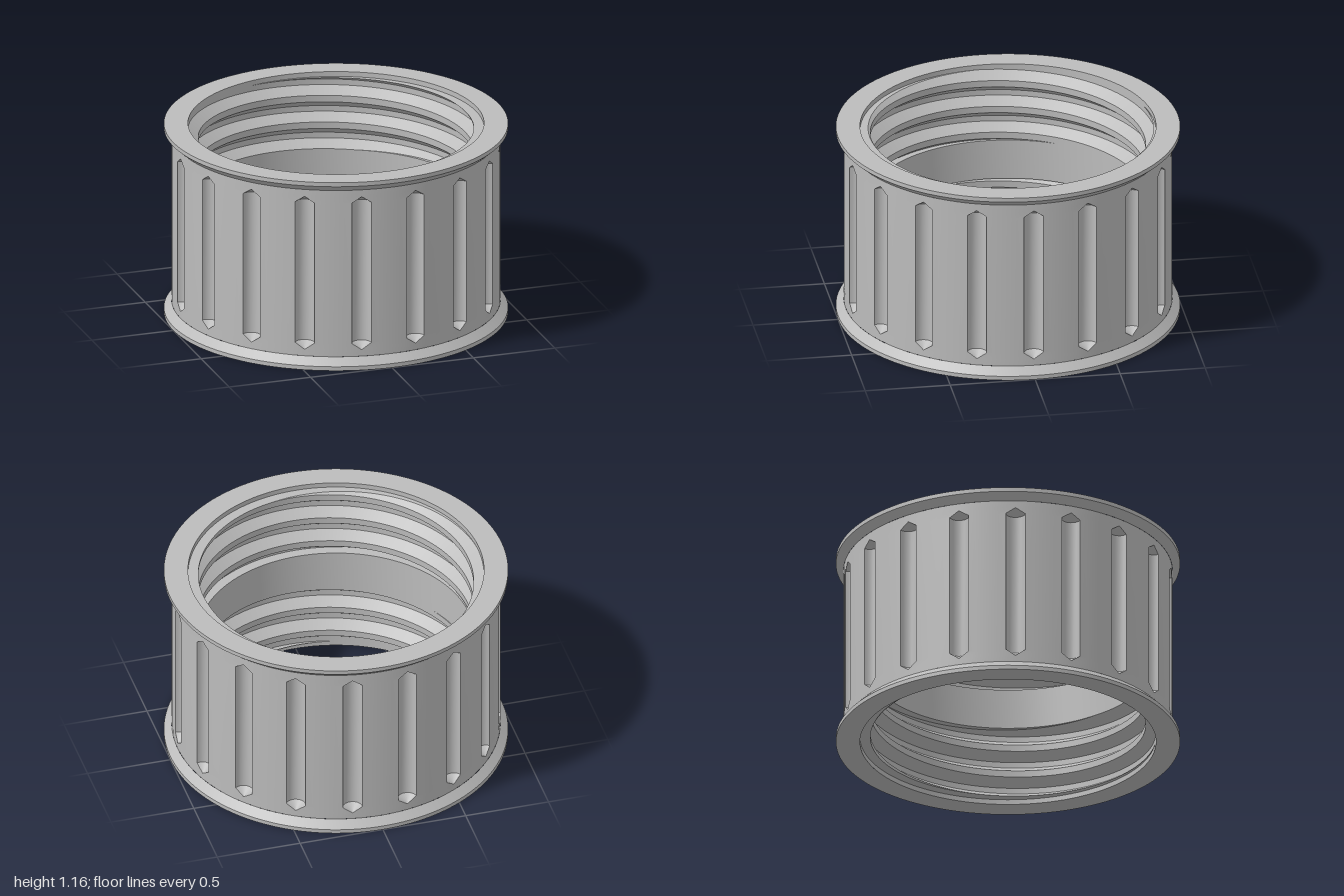
import * as THREE from 'three';
import { toCreasedNormals } from 'three/addons/utils/BufferGeometryUtils.js';

const H = 1.165;        // overall height
const BODY = 0.955;     // outer wall radius
const BORE = 0.8;       // thread crest and bore radius
const ROOT = 0.86;      // thread root and mouth radius
const SEGMENTS = 144;
const CREASE = 0.45;

const plastic = new THREE.MeshStandardMaterial({ color: 0xbcbcbc });
plastic.name = 'greyPlastic';

function mesh(name, geometry) {
  const m = new THREE.Mesh(toCreasedNormals(geometry, CREASE), plastic);
  m.name = name;
  return m;
}

// Surface through a grid of points; collapsed triangles are left out
function sheet(cols, rows, point) {
  const positions = [];
  const tri = (a, b, c) => {
    const n = b.clone().sub(a).cross(c.clone().sub(a));
    if (n.length() > 1e-9) positions.push(...a.toArray(), ...b.toArray(), ...c.toArray());
  };
  for (let i = 0; i < cols; i++) {
    for (let j = 0; j < rows; j++) {
      const a = point(i, j), b = point(i + 1, j);
      const c = point(i + 1, j + 1), d = point(i, j + 1);
      tri(a, b, c);
      tri(a, c, d);
    }
  }
  const g = new THREE.BufferGeometry();
  g.setAttribute('position', new THREE.Float32BufferAttribute(positions, 3));
  return g;
}

const polar = (r, theta, y) => new THREE.Vector3(r * Math.sin(theta), y, r * Math.cos(theta));

function ring(name, profile) {
  const points = profile.map(([r, y]) => new THREE.Vector2(r, y));
  return mesh(name, new THREE.LatheGeometry(points, SEGMENTS));
}

// Outer wall with 18 round-bottomed grip grooves with pointed ends
function gripWall() {
  const count = 18, arc = 10, land = 5, per = arc + land;
  const step = (Math.PI * 2) / count;
  // height and groove half-width of each row
  const rows = [[0.07, 0], [0.11, 0], [0.15, 0.057], [1.02, 0.057], [1.057, 0], [1.1, 0]];
  return sheet(count * per, rows.length - 1, (i, j) => {
    const [y, w] = rows[j];
    const centre = (Math.floor(i / per) + 0.5) * step;
    const k = i % per;
    const edge = Math.asin(w / BODY);
    if (k <= arc) {
      const a = Math.PI * (1 - k / arc);
      const t = w * Math.cos(a);
      const depth = Math.sqrt(BODY * BODY - t * t) - w * Math.sin(a);
      return polar(Math.hypot(t, depth), centre + Math.atan2(t, depth), y);
    }
    const f = (k - arc) / land;
    return polar(BODY, centre + edge + f * (step - 2 * edge), y);
  });
}

// Helical internal thread, running down from the mouth
function thread() {
  const pitch = 0.165, phase = 0.24, start = 0.03, end = 0.46;
  const stations = [[0, BORE], [0.045, ROOT], [0.08, ROOT], [0.125, BORE], [pitch, BORE]];
  const radiusAt = (offset) => {
    const o = ((offset % pitch) + pitch) % pitch;
    for (let s = 0; s < 4; s++) {
      const [o0, r0] = stations[s], [o1, r1] = stations[s + 1];
      if (o <= o1) return r0 + ((r1 - r0) * (o - o0)) / (o1 - o0);
    }
    return BORE;
  };
  const steps = [];
  for (let k = -2; k <= 4; k++) {
    for (let s = 0; s < 4; s++) steps.push(k * pitch + stations[s][0]);
  }
  const last = steps.length + 2;
  return sheet(SEGMENTS, last, (i, j) => {
    const turn = i / SEGMENTS, theta = turn * Math.PI * 2;
    if (j === 0) return polar(ROOT, theta, H);
    if (j === 1) return polar(ROOT, theta, H - start);
    if (j === last) return polar(BORE, theta, H - end);
    const origin = phase - pitch * turn;
    const d = THREE.MathUtils.clamp(origin + steps[j - 2], start, end);
    return polar(radiusAt(d - origin), theta, H - d);
  });
}

export function createModel() {
  const group = new THREE.Group();
  group.name = 'threadedCoupling';

  group.add(mesh('gripWall', gripWall()));

  // Flared rims at both ends
  group.add(ring('bottomRim', [[ROOT, 0], [1, 0], [1, 0.025], [BODY, 0.07]]));
  group.add(ring('topRim', [[BODY, 1.1], [1, 1.14], [1, H], [ROOT, H]]));

  // Same-handed threads entering from both ends
  const upper = mesh('upperThread', thread());
  const lower = mesh('lowerThread', thread());
  lower.rotation.x = Math.PI;
  lower.position.y = H;
  group.add(upper, lower);

  // Plain bore between the threads
  group.add(ring('middleBore', [[BORE, H - 0.46], [BORE, 0.46]]));

  return group;
}
